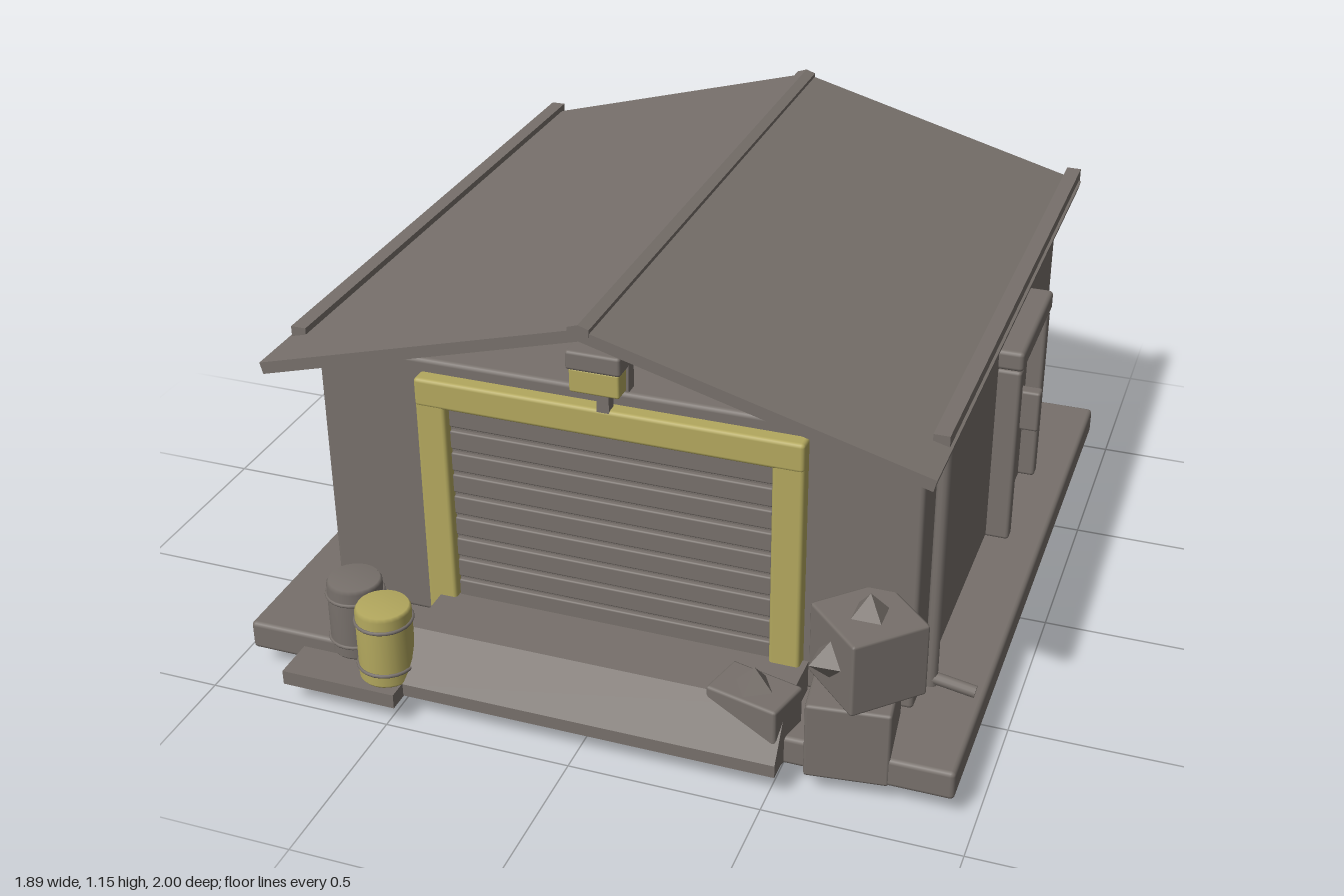
import * as THREE from 'three';
import { RoundedBoxGeometry } from 'three/addons/geometries/RoundedBoxGeometry.js';

export function createModel() {
  const root = new THREE.Group();
  const grey = new THREE.MeshStandardMaterial({ color: 0x77706b });
  grey.name = 'concreteGrey';
  const yellow = new THREE.MeshStandardMaterial({ color: 0xb3a85e });
  yellow.name = 'safetyYellow';

  const add = (name, geo, mat, x = 0, y = 0, z = 0, parent = root) => {
    const m = new THREE.Mesh(geo, mat);
    m.name = name;
    m.position.set(x, y, z);
    parent.add(m);
    return m;
  };
  // box from its two extreme corners, with an optional rounded edge
  const box = (name, mat, [x0, x1], [y0, y1], [z0, z1], r = 0) => {
    const s = [x1 - x0, y1 - y0, z1 - z0];
    const geo = r ? new RoundedBoxGeometry(...s, 2, r) : new THREE.BoxGeometry(...s);
    return add(name, geo, mat, (x0 + x1) / 2, (y0 + y1) / 2, (z0 + z1) / 2);
  };
  // outline in x, y extruded from z0 to z1
  const prism = (name, pts, z0, z1) => {
    const shape = new THREE.Shape(pts.map(p => new THREE.Vector2(...p)));
    const geo = new THREE.ExtrudeGeometry(shape, { depth: z1 - z0, bevelEnabled: false });
    return add(name, geo, grey, 0, 0, z0);
  };

  // base and walls
  box('baseSlab', grey, [-0.945, 0.945], [0.06, 0.14], [-1, 0.885], 0.012);
  box('walls', grey, [-0.788, 0.788], [0.138, 0.895], [-0.95, 0.675], 0.012);

  // open-gabled roof
  prism('roof', [[-0.85, 0.91], [-0.842, 0.88], [0, 1.112], [0.842, 0.88], [0.85, 0.91], [0, 1.143]], -0.957, 0.85);
  prism('ridgeCap', [[-0.027, 1.125], [0.027, 1.125], [0.027, 1.146], [0, 1.155], [-0.027, 1.146]], -0.96, 0.852);
  for (const s of [-1, 1]) {
    box('gutter', grey, [s * 0.823 - 0.02, s * 0.823 + 0.02], [0.895, 0.94], [-0.978, 0.7]);
  }

  // garage door with slats and painted surround
  box('garageDoor', grey, [-0.425, 0.425], [0.14, 0.785], [0.66, 0.682]);
  for (let i = 0; i < 10; i++) {
    const top = 0.778 - i * 0.0635;
    box('doorSlat', grey, [-0.424, 0.424], [top - 0.053, top], [0.675, 0.694], 0.005);
  }
  for (const s of [-1, 1]) {
    box('surroundPost', yellow, [s * 0.465 - 0.04, s * 0.465 + 0.04], [0.14, 0.855], [0.66, 0.714], 0.01);
  }
  box('surroundLintel', yellow, [-0.505, 0.505], [0.782, 0.86], [0.66, 0.716], 0.01);

  // lamp over the garage door
  box('lampPost', grey, [-0.016, 0.016], [0.85, 0.94], [0.685, 0.715]);
  box('lampHousing', grey, [-0.07, 0.07], [0.99, 1.04], [0.685, 0.775], 0.008);
  box('lampBack', grey, [-0.07, 0.07], [0.925, 1.0], [0.685, 0.72]);
  box('lampLens', yellow, [-0.064, 0.064], [0.928, 0.992], [0.715, 0.768], 0.006);

  // entrance step with a sloped front, profile given in z and y
  const step = prism('entranceStep', [[0.68, 0.07], [0.955, 0.07], [0.955, 0.105], [0.87, 0.225], [0.68, 0.225]], 0, 0.99);
  step.rotation.y = -Math.PI / 2;
  step.position.set(0.52, 0, 0);

  // barrels on a pad
  box('barrelPad', grey, [-0.79, -0.475], [0.06, 0.1], [0.72, 1]);
  for (const [x, z, mat] of [[-0.53, 0.915, yellow], [-0.655, 0.83, grey]]) {
    const barrel = new THREE.Group();
    barrel.name = 'barrel';
    barrel.position.set(x, 0.1, z);
    root.add(barrel);
    const profile = [[0, 0], [0.066, 0], [0.072, 0.008], [0.072, 0.2], [0.066, 0.21], [0, 0.21]];
    add('barrelBody', new THREE.LatheGeometry(profile.map(p => new THREE.Vector2(...p)), 24), mat, 0, 0, 0, barrel);
    for (const y of [0.04, 0.17]) {
      add('barrelHoop', new THREE.TorusGeometry(0.073, 0.005, 6, 24), grey, 0, y, 0, barrel).rotation.x = Math.PI / 2;
    }
  }

  // scrap pile of spiked blocks
  const block = (x, y, z, size, turn, spikes) => {
    const g = new THREE.Group();
    g.name = 'scrapBlock';
    g.position.set(x, y, z);
    g.rotation.y = turn;
    root.add(g);
    add('blockBody', new RoundedBoxGeometry(...size, 1, 0.008), grey, 0, 0, 0, g);
    for (const dir of spikes) {
      const d = new THREE.Vector3(...dir);
      const reach = Math.abs(d.x) * size[0] / 2 + Math.abs(d.y) * size[1] / 2 + Math.abs(d.z) * size[2] / 2;
      const spike = add('spike', new THREE.ConeGeometry(0.055, 0.06, 4).toNonIndexed(), grey, 0, 0, 0, g);
      spike.geometry.computeVertexNormals();
      spike.position.copy(d).multiplyScalar(reach + 0.027);
      spike.quaternion.setFromUnitVectors(new THREE.Vector3(0, 1, 0), d);
    }
  };
  block(0.695, 0.375, 0.78, [0.21, 0.2, 0.21], Math.PI / 4, [[0, 1, 0], [1, 0, 0], [-1, 0, 0]]);
  block(0.67, 0.165, 0.8, [0.21, 0.21, 0.2], 0.12, [[0, -1, 0]]);
  block(0.43, 0.15, 0.84, [0.2, 0.18, 0.13], -0.25, [[0, 1, 0], [0, -1, 0]]);

  // side door
  box('sideDoor', grey, [0.78, 0.805], [0.14, 0.67], [-0.535, -0.2]);
  for (const z of [-0.185, -0.552]) {
    box('sideDoorJamb', grey, [0.775, 0.852], [0.14, 0.67], [z - 0.022, z + 0.022], 0.01);
  }
  box('sideDoorLintel', grey, [0.775, 0.856], [0.672, 0.73], [-0.577, -0.158], 0.012);
  box('sideDoorHandle', grey, [0.8, 0.865], [0.34, 0.465], [-0.482, -0.44], 0.008);

  // downpipe and its spout
  add('downpipe', new THREE.CylinderGeometry(0.017, 0.017, 0.73, 12), grey, 0.81, 0.525, 0.58);
  add('downpipeSpout', new THREE.CylinderGeometry(0.016, 0.016, 0.13, 12), grey, 0.86, 0.172, 0.58).rotation.z = 1.4;

  // panels on the back wall
  box('backPanel', grey, [0.375, 0.735], [0.215, 0.345], [-0.997, -0.94]);
  box('backPanel', grey, [-0.02, 0.31], [0.215, 0.45], [-0.985, -0.94]);
  box('backPanel', grey, [-0.535, -0.16], [0.215, 0.345], [-0.997, -0.94]);

  return root;
}
